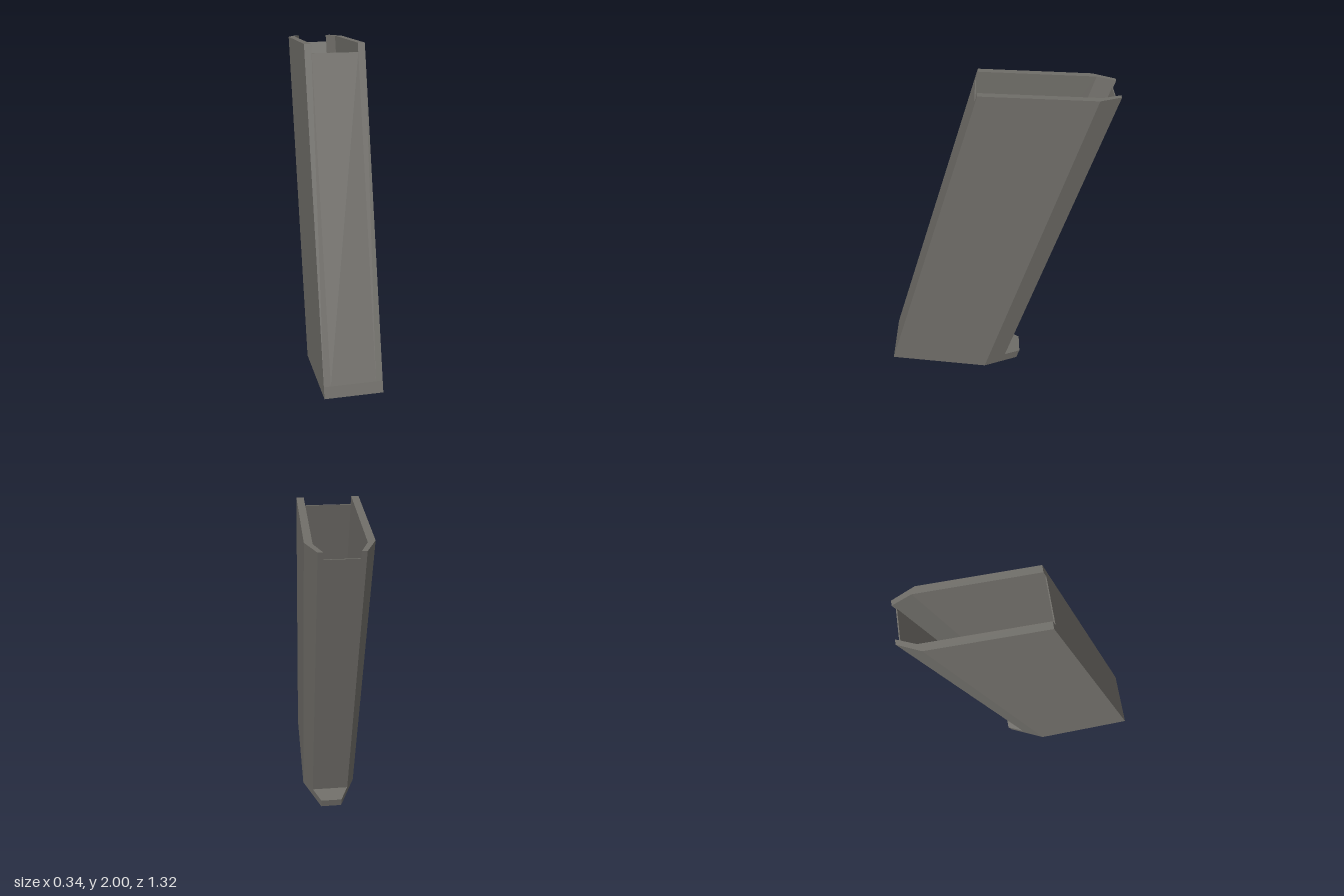
import * as THREE from 'three';

// Every upright edge leans back by LEAN; s is the distance behind the front face.
const LEAN = 0.308;
const BOTTOM = { a: 0.0234, b: 0.146 };
const FLOOR = { a: 0.0914, b: 0.146 };
const RIM = { a: 1.996, b: 0.047 };
const lowered = (plane, d) => ({ a: plane.a - d, b: plane.b });

// Point where the leaning edge through (x, s) meets the plane y = a + b z
function meet([x, s], { a, b }) {
  const c = 0.08 - s + 2 * LEAN;
  const y = (a + b * c) / (1 + b * LEAN);
  return [x, y, c - LEAN * y];
}

// Slanted prism over a convex outline of [x, s] points, between two planes
function slantedPrism(outline, low, high) {
  let area = 0;
  outline.forEach(([x, s], i) => {
    const [x2, s2] = outline[(i + 1) % outline.length];
    area += x * s2 - x2 * s;
  });
  const pts = area > 0 ? outline : [...outline].reverse();
  const n = pts.length;
  const lo = pts.map((p) => meet(p, low));
  const hi = pts.map((p) => meet(p, high));
  const pos = [];
  const tri = (...corners) => corners.forEach((c) => pos.push(...c));
  for (let i = 0; i < n; i++) {
    const j = (i + 1) % n;
    tri(lo[i], lo[j], hi[j]);
    tri(lo[i], hi[j], hi[i]);
    if (i > 0 && i < n - 1) {
      tri(hi[0], hi[i], hi[j]);
      tri(lo[0], lo[j], lo[i]);
    }
  }
  const g = new THREE.BufferGeometry();
  g.setAttribute('position', new THREE.Float32BufferAttribute(pos, 3));
  g.computeVertexNormals();
  return g;
}

export function createModel() {
  const group = new THREE.Group();
  group.name = 'slantedMagazine';
  const metal = new THREE.MeshStandardMaterial({ color: 0x6f6d68 });
  metal.name = 'warm grey metal';

  const add = (name, outline, low, high) => {
    const mesh = new THREE.Mesh(slantedPrism(outline, low, high), metal);
    mesh.name = name;
    group.add(mesh);
  };

  // Base plate with the tapered lip sticking out behind
  add('basePlate', [
    [-0.17, 0], [0.17, 0], [0.17, 0.63], [0.066, 0.856], [-0.066, 0.856], [-0.17, 0.63],
  ], BOTTOM, FLOOR);

  // Side walls and the angled rear corners that form the feed lips
  for (const [side, m] of [['left', 1], ['right', -1]]) {
    const mirror = (pts) => pts.map(([x, s]) => [x * m, s]);
    add(side + 'Wall', mirror([[0.17, 0], [0.17, 0.63], [0.13, 0.65], [0.13, 0]]), FLOOR, RIM);
    add(side + 'RearCorner',
      mirror([[0.17, 0.63], [0.115, 0.751], [0.088, 0.751], [0.13, 0.65]]), FLOOR, RIM);
  }

  // Thin front and back panels, cut lower than the rim
  const panel = (w, s1, s2) => [[-w, s1], [w, s1], [w, s2], [-w, s2]];
  add('frontPanel', panel(0.13, 0, 0.006), FLOOR, lowered(RIM, 0.05));
  add('backPanel', panel(0.088, 0.745, 0.751), FLOOR, lowered(RIM, 0.042));

  return group;
}
